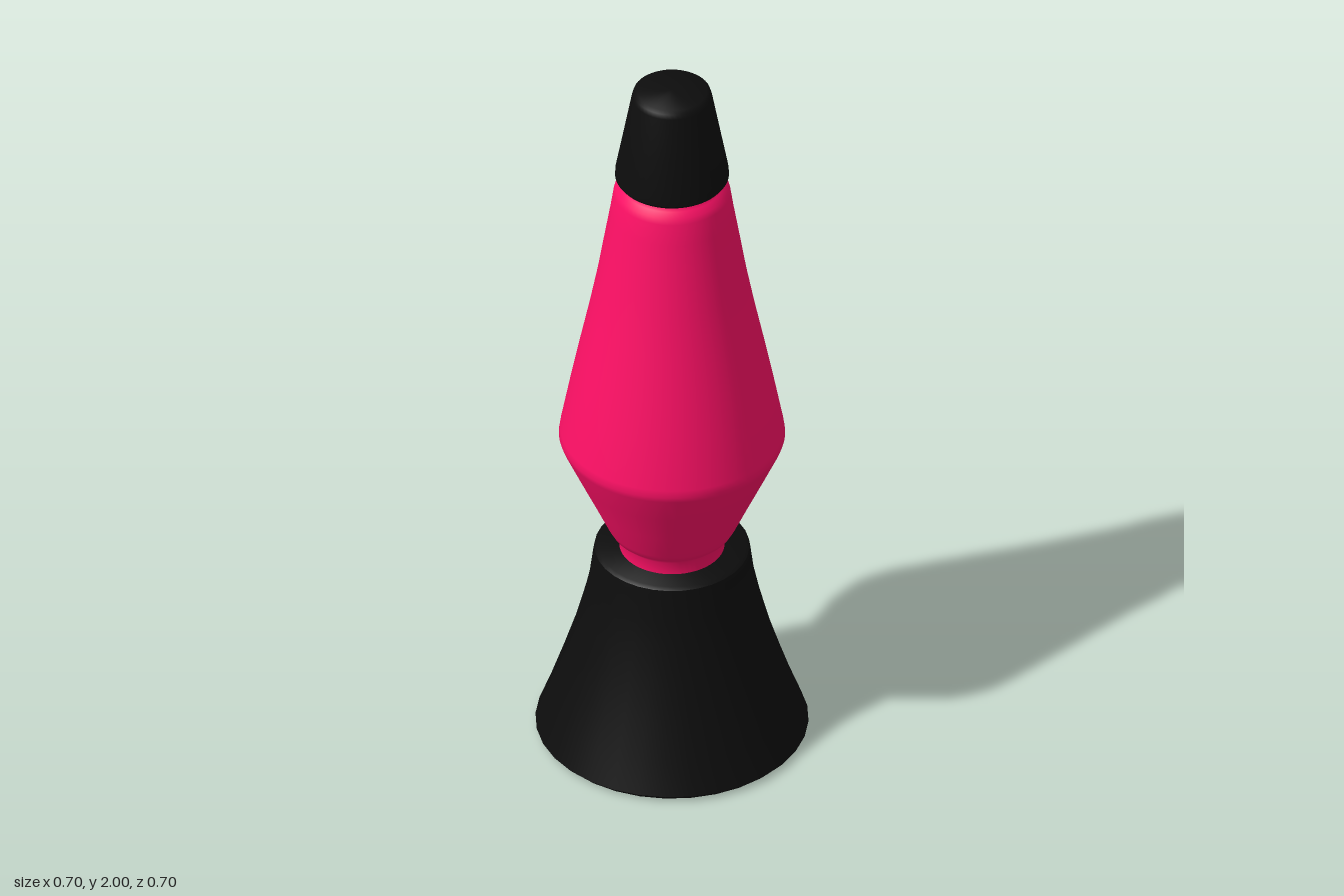
import * as THREE from 'three';
import { toCreasedNormals } from 'three/addons/utils/BufferGeometryUtils.js';

const black = new THREE.MeshStandardMaterial({ color: 0x0d0d0d });
const pink = new THREE.MeshStandardMaterial({ color: 0xff1066 });

// Solid of revolution from [radius, height] pairs, listed bottom to top
function turned(name, profile, material, segments) {
  const points = profile.map(([r, y]) => new THREE.Vector2(r, y));
  const geometry = toCreasedNormals(new THREE.LatheGeometry(points, segments), 0.7);
  const mesh = new THREE.Mesh(geometry, material);
  mesh.name = name;
  return mesh;
}

export function createModel() {
  const lamp = new THREE.Group();
  lamp.name = 'lavaLamp';

  // Flared foot with a softened top rim
  lamp.add(turned('base', [
    [0, 0], [0.335, 0], [0.35, 0.015], [0.318, 0.1], [0.284, 0.2], [0.252, 0.3],
    [0.226, 0.4], [0.211, 0.47], [0.202, 0.54], [0.199, 0.558], [0.19, 0.565], [0, 0.565],
  ], black, 32));

  // Glass bottle: narrow neck, wide shoulder, long taper
  lamp.add(turned('bottle', [
    [0, 0.56], [0.135, 0.56], [0.135, 0.6], [0.143, 0.612], [0.157, 0.622], [0.168, 0.642],
    [0.205, 0.725], [0.246, 0.815], [0.284, 0.9], [0.29, 0.918], [0.287, 0.938],
    [0.262, 1.07], [0.238, 1.19], [0.213, 1.31], [0.192, 1.42], [0.174, 1.53],
    [0.159, 1.62], [0.15, 1.68], [0.145, 1.697], [0.133, 1.71], [0.125, 1.72],
    [0.125, 1.75], [0, 1.75],
  ], pink, 64));

  // Tapered cap with rounded edges
  lamp.add(turned('cap', [
    [0, 1.727], [0.14, 1.727], [0.146, 1.735], [0.145, 1.752], [0.125, 1.86], [0.103, 1.98],
    [0.099, 1.993], [0.09, 2], [0, 2],
  ], black, 48));

  return lamp;
}
